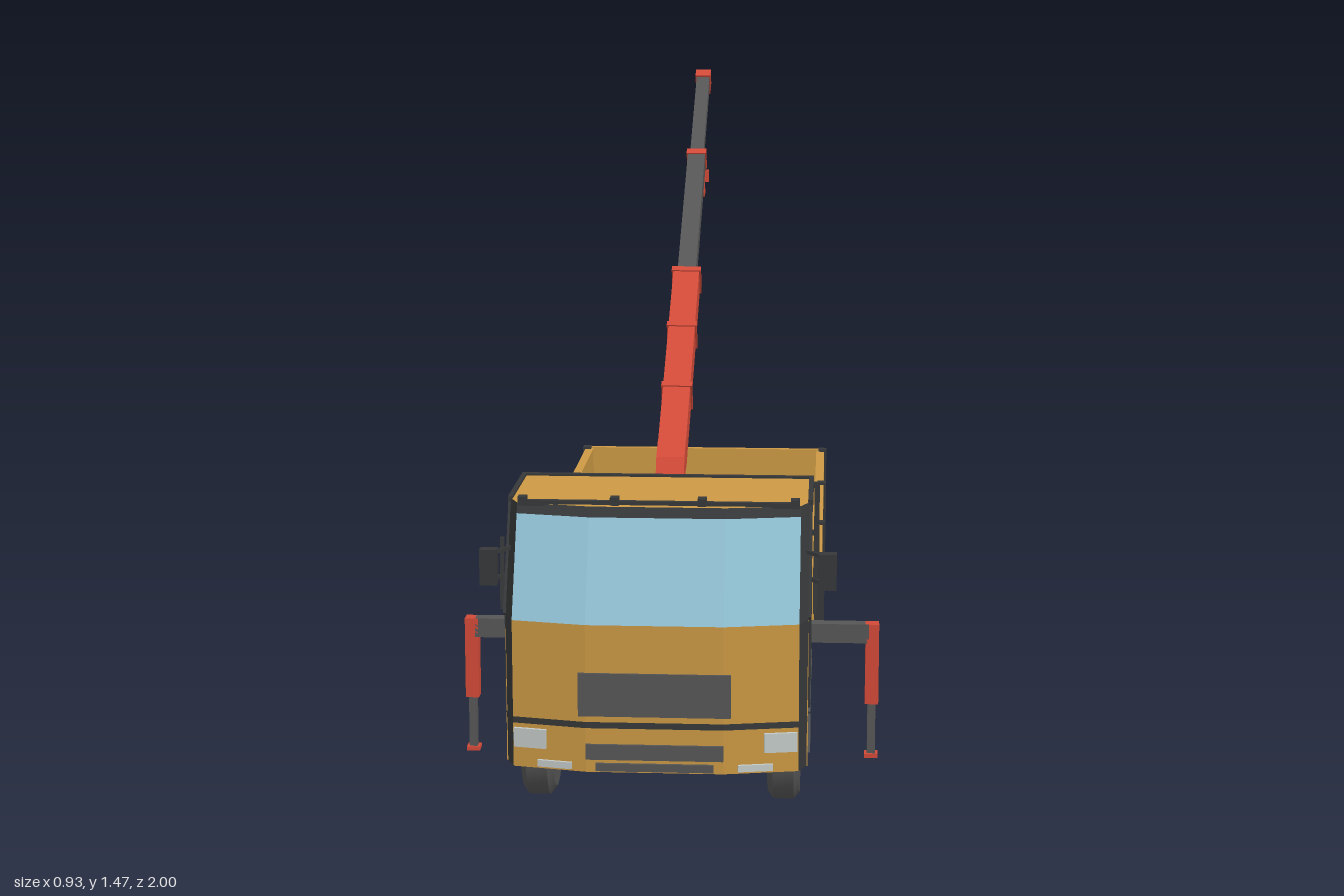
import * as THREE from 'three';
import { toCreasedNormals } from 'three/addons/utils/BufferGeometryUtils.js';

const mat = (name, color, side = THREE.FrontSide) => {
  const m = new THREE.MeshStandardMaterial({ color, side });
  m.name = name;
  return m;
};

export function createModel() {
  const paint = mat('ochrePaint', 0xcc9944), red = mat('craneRed', 0xd24a38);
  const dark = mat('darkGrey', 0x565656), black = mat('trimBlack', 0x363839);
  const glass = mat('glass', 0x8fbfd2, THREE.DoubleSide), teal = mat('hubTeal', 0x5f8a94);
  const pale = mat('paleGrey', 0xc3cac8);
  const truck = new THREE.Group();
  truck.name = 'craneTruck';

  const add = (name, geo, material) => {
    const m = new THREE.Mesh(geo, material);
    m.name = name;
    truck.add(m);
    return m;
  };
  // box from its extents on each axis
  const box = (name, material, x0, x1, y0, y1, z0, z1) => {
    const m = add(name, new THREE.BoxGeometry(x1 - x0, y1 - y0, z1 - z0), material);
    m.position.set((x0 + x1) / 2, (y0 + y1) / 2, (z0 + z1) / 2);
    return m;
  };
  // same box on both sides of the truck
  const pair = (name, material, x0, x1, ...r) => {
    box(name, material, x0, x1, ...r);
    box(name, material, -x1, -x0, ...r);
  };
  // square bar between two points
  const bar = (name, material, p, q, w, h = w) => {
    const a = new THREE.Vector3(...p), b = new THREE.Vector3(...q);
    const m = add(name, new THREE.BoxGeometry(w, h, a.distanceTo(b)), material);
    m.position.copy(a).lerp(b, 0.5);
    m.lookAt(b);
    return m;
  };
  // side profile of [z, y] points, extruded across x
  const profile = (name, material, pts, x, w) => {
    const g = new THREE.ExtrudeGeometry(new THREE.Shape(pts.map(p => new THREE.Vector2(...p))),
      { depth: w, bevelEnabled: false });
    g.rotateY(-Math.PI / 2).translate(x + w / 2, 0, 0);
    return add(name, g, material);
  };

  // ---- cab ----
  profile('cabBody', paint, [[0.58, 0.26], [0.79, 0.265], [0.84, 0.215], [0.865, 0.13], [0.925, 0.13],
    [0.927, 0.44], [0.815, 0.66], [0.58, 0.66]], 0, 0.62);
  // bowed nose: columns across x, rows of [y, front z]
  const X = [-0.31, -0.292, -0.14, 0.14, 0.292, 0.31], D = [0.07, 0.03, 0, 0, 0.03, 0.07];
  const rows = [[0.13, 0.99], [0.44, 0.996], [0.64, 0.897], [0.66, 0.885]];
  const nose = (name, material, lo, hi, c0, c1, out = 0) => {
    const v = [], P = (r, k) => [X[k], r[0], r[1] - D[k] + out];
    for (let k = c0; k < c1; k++) {
      const a = P(lo, k), b = P(lo, k + 1), c = P(hi, k + 1), d = P(hi, k);
      v.push(...a, ...b, ...c, ...a, ...c, ...d);
    }
    const g = new THREE.BufferGeometry();
    g.setAttribute('position', new THREE.Float32BufferAttribute(v, 3));
    g.computeVertexNormals();
    add(name, g, material);
  };
  nose('cabFront', paint, rows[0], rows[1], 1, 4);
  nose('windscreen', glass, rows[1], rows[2], 1, 4);
  nose('windscreenHeader', black, rows[2], rows[3], 0, 5);
  for (const c of [0, 4]) {
    nose('cornerTrim', black, rows[0], rows[1], c, c + 1);
    nose('windscreenPillar', black, rows[1], rows[2], c, c + 1);
  }
  nose('bumperSeam', black, [0.224, 0.993], [0.237, 0.993], 0, 5, 0.002);
  // caps closing the nose above and below
  for (const [r, turn, name] of [[rows[3], 1, 'roofNose'], [rows[0], -1, 'noseUnderside']]) {
    const s = new THREE.Shape(X.map((x, k) => new THREE.Vector2(x, -turn * (r[1] - D[k]))));
    const g = new THREE.ShapeGeometry(s);
    g.rotateX(-turn * Math.PI / 2).translate(0, r[0], 0);
    add(name, g, paint);
  }
  box('grille', dark, -0.155, 0.155, 0.25, 0.34, 0.985, 0.999);
  for (const [w, y0, y1] of [[0.14, 0.158, 0.19], [0.12, 0.134, 0.15]])
    box('bumperIntake', dark, -w, w, y0, y1, 0.98, 0.997);
  for (const s of [1, -1]) {
    box('headlamp', pale, -0.034, 0.034, 0.174, 0.214, -0.004, 0.004).position.set(s * 0.256, 0.194, 0.972);
    truck.children.at(-1).rotation.y = s * 0.195;
    box('fogLamp', pale, -0.036, 0.036, 0, 0.014, -0.004, 0.004).position.set(s * 0.205, 0.142, 0.98);
    truck.children.at(-1).rotation.y = s * 0.195;
  }
  // roof edge trim and marker lamps
  pair('roofEdge', black, 0.306, 0.316, 0.64, 0.665, 0.575, 0.82);
  box('roofRearEdge', black, -0.316, 0.316, 0.635, 0.665, 0.572, 0.584);
  bar('roofFrontEdge', black, [-0.29, 0.662, 0.862], [0.29, 0.662, 0.862], 0.012);
  for (const x of [-0.28, -0.09, 0.09, 0.28]) box('markerLamp', black, x - 0.009, x + 0.009, 0.66, 0.676, 0.85, 0.875);
  // side windows, door seams, mirrors
  const windowPts = [[0.885, 0.48], [0.835, 0.592], [0.685, 0.6], [0.685, 0.51]];
  const doorPts = [[0.9, 0.45], [0.685, 0.485], [0.685, 0.31], [0.9, 0.25]];
  for (const s of [1, -1]) {
    profile('sideWindow', glass, windowPts, s * 0.311, 0.006);
    for (const [pts, w] of [[windowPts, 0.007], [doorPts, 0.007]])
      pts.forEach((p, i) => {
        const q = pts[(i + 1) % 4];
        bar('doorSeam', black, [s * 0.311, p[1], p[0]], [s * 0.311, q[1], q[0]], w);
      });
    bar('pillarTrim', black, [s * 0.309, 0.44, 0.918], [s * 0.309, 0.65, 0.812], 0.012, 0.018);
    box('mirror', black, -0.018, 0.018, 0.495, 0.57, -0.013, 0.013).position.set(s * 0.348, 0.532, 0.888);
    for (const y of [0.505, 0.56])
      bar('mirrorArm', black, [s * 0.3, y + 0.01, 0.87], [s * 0.345, y, 0.888], 0.008);
    bar('mirrorStay', black, [s * 0.322, 0.44, 0.88], [s * 0.322, 0.59, 0.87], 0.008);
    // front wheel guard
    const arch = [[0.868, 0.14], [0.84, 0.215], [0.79, 0.26], [0.66, 0.266], [0.56, 0.25]];
    arch.slice(1).forEach((p, i) =>
      bar('frontFender', dark, [s * 0.256, arch[i][1], arch[i][0]], [s * 0.256, p[1], p[0]], 0.118, 0.016));
  }
  box('cabCrossmember', dark, -0.315, 0.315, 0.25, 0.272, 0.548, 0.6);

  // ---- chassis ----
  profile('chassis', dark, [[0.9, 0.15], [0.9, 0.24], [-0.82, 0.24], [-0.82, 0.2], [-0.72, 0.14], [0.5, 0.14]], 0, 0.32);
  pair('chassisRail', dark, 0.1, 0.16, 0.235, 0.262, 0.34, 0.56);
  pair('sideTank', dark, 0.15, 0.275, 0.1, 0.215, -0.1, 0.33);
  for (const y of [0.092, 0.145, 0.205]) pair('sideGuardRail', dark, 0.296, 0.308, y, y + 0.014, -0.12, 0.345);
  for (const z of [-0.11, 0.03, 0.18, 0.33]) pair('sideGuardPost', black, 0.282, 0.298, 0.092, 0.24, z - 0.007, z + 0.007);
  for (const [z, y0, y1] of [[0.575, 0.06, 0.25], [-0.185, 0.04, 0.235], [-0.735, 0.04, 0.235]])
    pair('mudflap', dark, 0.195, 0.3, y0, y1, z - 0.005, z + 0.005);
  pair('rearFender', dark, 0.19, 0.3, 0.225, 0.238, -0.76, -0.18);
  box('underrunBar', dark, -0.33, 0.33, 0.088, 0.112, -0.86, -0.845);
  for (const s of [1, -1])
    bar('underrunArm', dark, [s * 0.13, 0.2, -0.8], [s * 0.13, 0.1, -0.847], 0.02);

  // ---- wheels: tyre lathe, hub disc and cap ----
  const wheel = (z, xIn, xOut) => {
    const w = xOut - xIn, h = w / 2;
    const tyre = toCreasedNormals(new THREE.LatheGeometry([[0, -h], [0.1, -h], [0.118, -h + 0.012], [0.118, h - 0.012],
      [0.103, h], [0.07, h], [0.062, h - 0.014], [0, h - 0.014]].map(p => new THREE.Vector2(...p)), 36), 0.5);
    for (const s of [1, -1]) {
      const g = new THREE.Group();
      g.name = 'wheel';
      const part = (name, geo, m, y) => {
        const mesh = new THREE.Mesh(geo, m);
        mesh.name = name;
        mesh.position.y = y;
        g.add(mesh);
        return mesh;
      };
      part('tyre', tyre, dark, 0);
      part('hubDisc', new THREE.CylinderGeometry(0.044, 0.05, 0.012, 24), teal, h - 0.01);
      part('hubCap', new THREE.CylinderGeometry(0.018, 0.022, 0.022, 16), teal, h - 0.002);
      for (let i = 0; i < 8; i++) {
        const a = i * Math.PI / 4;
        const nut = part('wheelNut', new THREE.CylinderGeometry(0.004, 0.004, 0.01, 6), black, h - 0.003);
        nut.position.x = 0.033 * Math.cos(a);
        nut.position.z = 0.033 * Math.sin(a);
      }
      g.rotation.z = -s * Math.PI / 2;
      g.position.set(s * (xIn + xOut) / 2, 0.118, z);
      truck.add(g);
    }
    add('axle', new THREE.CylinderGeometry(0.014, 0.014, 2 * xIn, 12).rotateZ(Math.PI / 2), pale).position.set(0, 0.108, z);
  };
  wheel(0.735, 0.225, 0.293);
  wheel(-0.32, 0.205, 0.293);
  wheel(-0.6, 0.205, 0.293);

  // ---- load bed ----
  box('bedFloor', paint, -0.325, 0.325, 0.238, 0.26, -0.99, 0.365);
  pair('sideWall', paint, 0.312, 0.326, 0.24, 0.412, -0.99, 0.365);
  for (const y of [0.243, 0.302, 0.36]) pair('sideBoard', paint, 0.32, 0.334, y, y + 0.052, -0.985, 0.36);
  box('bedFront', paint, -0.325, 0.325, 0.24, 0.415, 0.35, 0.37);
  box('tailgate', paint, -0.325, 0.325, 0.238, 0.415, -0.998, -0.982);
  for (const z of [0.357, -0.073, -0.537, -0.982]) pair('bedPost', black, 0.318, 0.34, 0.238, 0.418, z - 0.014, z + 0.014);
  for (const x of [-0.2, 0.2]) box('tailgateHinge', black, x - 0.03, x + 0.03, 0.236, 0.246, -1, -0.975);
  box('lampBar', dark, -0.27, 0.27, 0.212, 0.24, -0.975, -0.96);
  pair('tailLamp', pale, 0.09, 0.25, 0.214, 0.236, -0.98, -0.97);
  // rack behind the cab
  for (const s of [1, -1]) {
    for (const x of [0.322, 0.15]) bar('rackPost', black, [s * x, 0.4, 0.36], [s * x, 0.6, 0.36], 0.012);
    bar('rackTop', black, [s * 0.328, 0.6, 0.36], [s * 0.144, 0.6, 0.36], 0.012);
  }
  bar('rackRail', black, [-0.322, 0.49, 0.36], [0.322, 0.49, 0.36], 0.012);

  // ---- crane base and outriggers ----
  box('craneBase', red, -0.165, 0.205, 0.255, 0.335, 0.415, 0.5);
  box('craneFoot', red, -0.075, 0.075, 0.25, 0.335, 0.41, 0.53);
  box('controlBox', pale, -0.215, -0.165, 0.28, 0.36, 0.42, 0.495);
  const column = new THREE.Shape([[-0.08, 0.33], [0.08, 0.33], [0.05, 0.57], [-0.05, 0.57]].map(p => new THREE.Vector2(...p)));
  add('craneColumn', new THREE.ExtrudeGeometry(column, { depth: 0.1, bevelEnabled: false }), red).position.z = 0.425;
  box('outriggerBeam', dark, -0.44, 0.44, 0.265, 0.308, 0.44, 0.472);
  pair('outriggerSleeve', red, 0.433, 0.463, 0.125, 0.308, 0.44, 0.472);
  pair('outriggerLeg', dark, 0.439, 0.457, 0.008, 0.13, 0.447, 0.465);
  pair('outriggerPad', red, 0.433, 0.463, 0, 0.009, 0.441, 0.471);

  // ---- boom ----
  profile('boomNeck', red, [[0.515, 0.56], [0.515, 0.64], [0.487, 0.685], [0.437, 0.712], [0.403, 0.652],
    [0.44, 0.645], [0.456, 0.62], [0.456, 0.56]], 0, 0.062);
  // point at distance t along the boom, d across it
  const A = 0.529, C = Math.cos(A), S = Math.sin(A);
  const on = (t, d = 0, x = 0) => [x, 0.68 + t * S + d * C, 0.42 - t * C + d * S];
  bar('mainBoom', red, on(-0.005), on(0.64), 0.062, 0.064);
  for (const t of [0.2, 0.42, 0.632]) bar('boomCollar', red, on(t - 0.008), on(t + 0.008), 0.07, 0.07);
  bar('middleBoom', dark, on(0.6), on(1.14), 0.044, 0.046);
  bar('middleCollar', red, on(1.13), on(1.15), 0.05, 0.054);
  bar('upperBoom', dark, on(1.1), on(1.52), 0.034, 0.034);
  bar('boomTip', red, on(1.5), on(1.53), 0.04, 0.044);
  bar('boomTipBracket', red, on(1.52, 0.01), on(1.525, -0.045), 0.036, 0.022);
  bar('boomCable', black, on(0.03, -0.045), on(1.51, -0.036), 0.006);
  for (const [t, d] of [[0.632, -0.04], [1.14, -0.032]]) bar('cableGuide', black, on(t - 0.01, d), on(t + 0.01, d), 0.016, 0.02);
  // lift cylinder
  const rod = (name, m, r, y0, y1) =>
    add(name, new THREE.CylinderGeometry(r, r, y1 - y0, 16), m).position.set(0, (y0 + y1) / 2, 0.398);
  rod('liftCylinder', red, 0.013, 0.26, 0.57);
  rod('liftRod', pale, 0.008, 0.56, 0.65);
  box('liftHead', red, -0.02, 0.02, 0.64, 0.68, 0.385, 0.412);
  // hoist lines and hook
  for (const z of [-0.897, -0.909]) bar('hoistLine', black, [0, 1.43, z], [0, 1.19, z], 0.005);
  box('hookBlock', red, -0.014, 0.014, 1.168, 1.2, -0.915, -0.892);
  const hook = add('hook', new THREE.TorusGeometry(0.013, 0.004, 8, 16, Math.PI * 1.4), red);
  hook.rotation.set(0, Math.PI / 2, 0);
  hook.rotateZ(Math.PI * 0.8);
  hook.position.set(0, 1.143, -0.904);
  bar('hookShank', red, [0, 1.17, -0.904], [0, 1.152, -0.904], 0.008);
  return truck;
}
